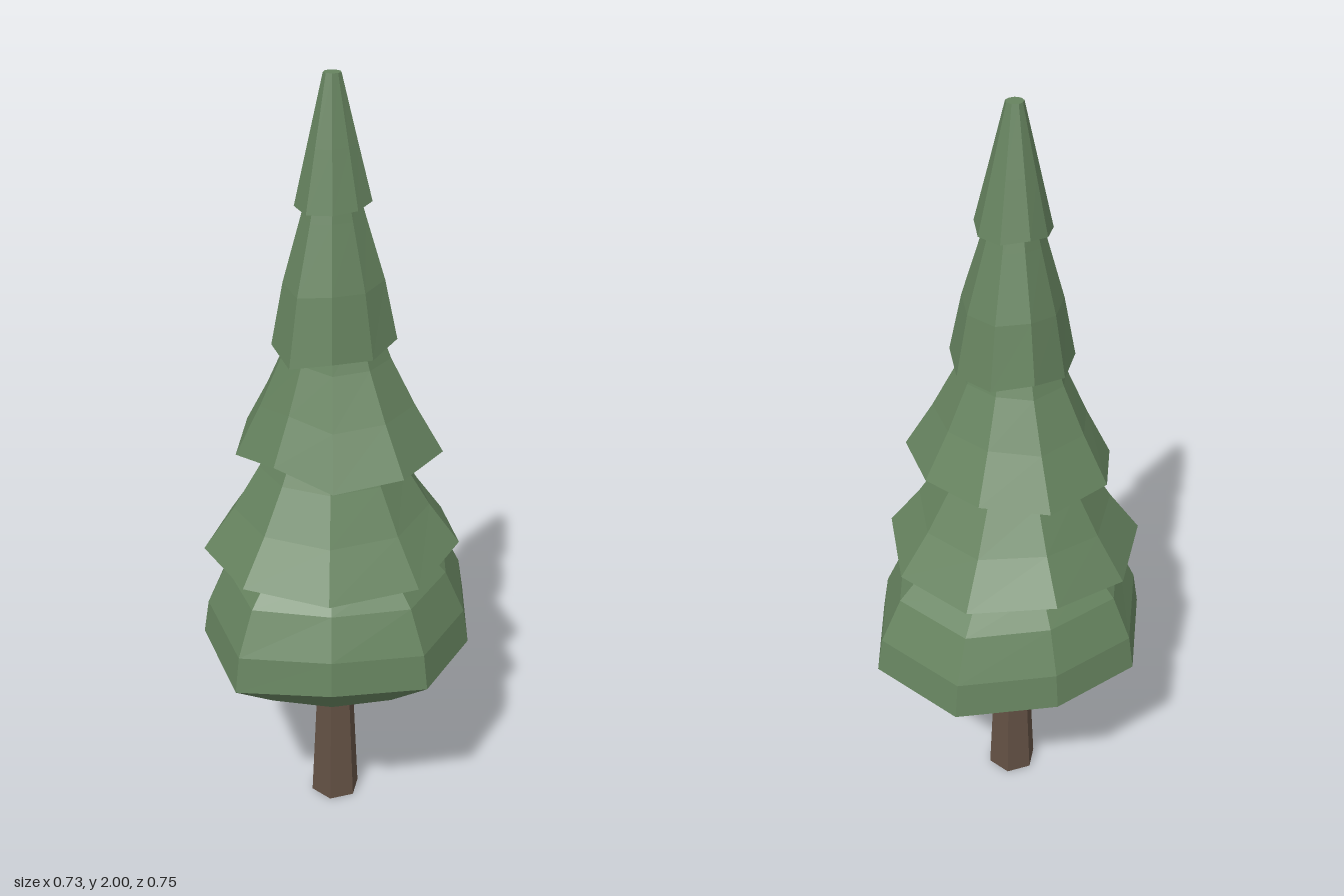
import * as THREE from 'three';

const AXIS_Z = 0.01; // the crown leans slightly forward of the trunk

// A nine-sided tier. hem: half outline [x, y, z] from front to back, mirrored in x.
// profile: [scale about the axis, height, share of the hem's waviness kept], bottom to top.
function makeTier(hem, profile) {
  const outline = [...hem, ...hem.slice(1).reverse().map(([x, y, z]) => [-x, y, z])];
  const base = outline.reduce((sum, p) => sum + p[1], 0) / outline.length;
  const n = outline.length;
  const positions = [];
  const index = [];
  profile.forEach(([s, y, wave], ring) => {
    for (const p of outline) {
      positions.push(p[0] * s, y + (p[1] - base) * wave, AXIS_Z + (p[2] - AXIS_Z) * s);
    }
    if (ring === 0) return;
    for (let k = 0; k < n; k++) {
      const a = (ring - 1) * n + k;
      const b = (ring - 1) * n + ((k + 1) % n);
      index.push(a, b, b + n, a, b + n, a + n);
    }
  });
  const indexed = new THREE.BufferGeometry();
  indexed.setAttribute('position', new THREE.Float32BufferAttribute(positions, 3));
  indexed.setIndex(index);
  const geometry = indexed.toNonIndexed();
  geometry.computeVertexNormals();
  return geometry;
}

export function createModel() {
  const foliage = new THREE.MeshStandardMaterial({ color: 0x66835f, flatShading: true });
  foliage.name = 'foliage green';
  const bark = new THREE.MeshStandardMaterial({ color: 0x635144, flatShading: true });
  bark.name = 'bark brown';

  const tree = new THREE.Group();
  tree.name = 'tree';
  const add = (name, geometry, material) => {
    const mesh = new THREE.Mesh(geometry, material);
    mesh.name = name;
    tree.add(mesh);
    return mesh;
  };

  // Six-sided trunk with corners on the x axis
  const trunk = add('trunk', new THREE.CylinderGeometry(0.05, 0.067, 0.36, 6), bark);
  trunk.rotation.y = Math.PI / 2;
  trunk.position.y = 0.18;

  // Rounded lowest tier
  add('bottomTier', makeTier(
    [[0, 0.515, 0.375], [0.225, 0.55, 0.265], [0.363, 0.53, 0.06], [0.306, 0.53, -0.182], [0.136, 0.535, -0.38]],
    [[0, 0.315, 0], [0.12, 0.315, 0], [0.64, 0.425, 0.3], [1, 0.533, 1], [0.96, 0.625, 0.8],
      [0.82, 0.735, 0.4], [0.64, 0.805, 0.2], [0.35, 0.9, 0]]), foliage);

  // Flared skirts above it
  add('lowerTier', makeTier(
    [[0, 0.803, 0.338], [0.215, 0.803, 0.262], [0.322, 0.803, 0.053], [0.28, 0.83, -0.16], [0.11, 0.812, -0.303]],
    [[0, 0.85, 0], [0.6, 0.84, 1], [1, 0.81, 1], [0.76, 0.92, 0.6], [0.56, 1.03, 0.3], [0.42, 1.12, 0], [0, 1.14, 0]]), foliage);

  add('middleTier', makeTier(
    [[0, 1.09, 0.222], [0.163, 1.06, 0.19], [0.263, 1.08, 0.047], [0.236, 1.08, -0.137], [0.086, 1.08, -0.225]],
    [[0, 1.11, 0], [0.6, 1.1, 1], [1, 1.077, 1], [0.74, 1.2, 0.6], [0.52, 1.32, 0.3], [0.38, 1.42, 0], [0, 1.43, 0]]), foliage);

  add('upperTier', makeTier(
    [[0, 1.33, 0.163], [0.098, 1.355, 0.121], [0.143, 1.35, 0.025], [0.133, 1.372, -0.076], [0.053, 1.353, -0.14]],
    [[0, 1.38, 0], [0.6, 1.37, 1], [1, 1.353, 1], [0.8, 1.51, 0.5], [0.5, 1.67, 0.2], [0.34, 1.76, 0], [0, 1.77, 0]]), foliage);

  add('topTier', makeTier(
    [[0, 1.69, 0.1], [0.06, 1.695, 0.076], [0.089, 1.7, 0.02], [0.084, 1.71, -0.036], [0.033, 1.7, -0.08]],
    [[0, 1.72, 0], [0.6, 1.715, 1], [1, 1.7, 1], [0.64, 1.84, 0.4], [0.23, 2, 0], [0, 2, 0]]), foliage);

  return tree;
}
